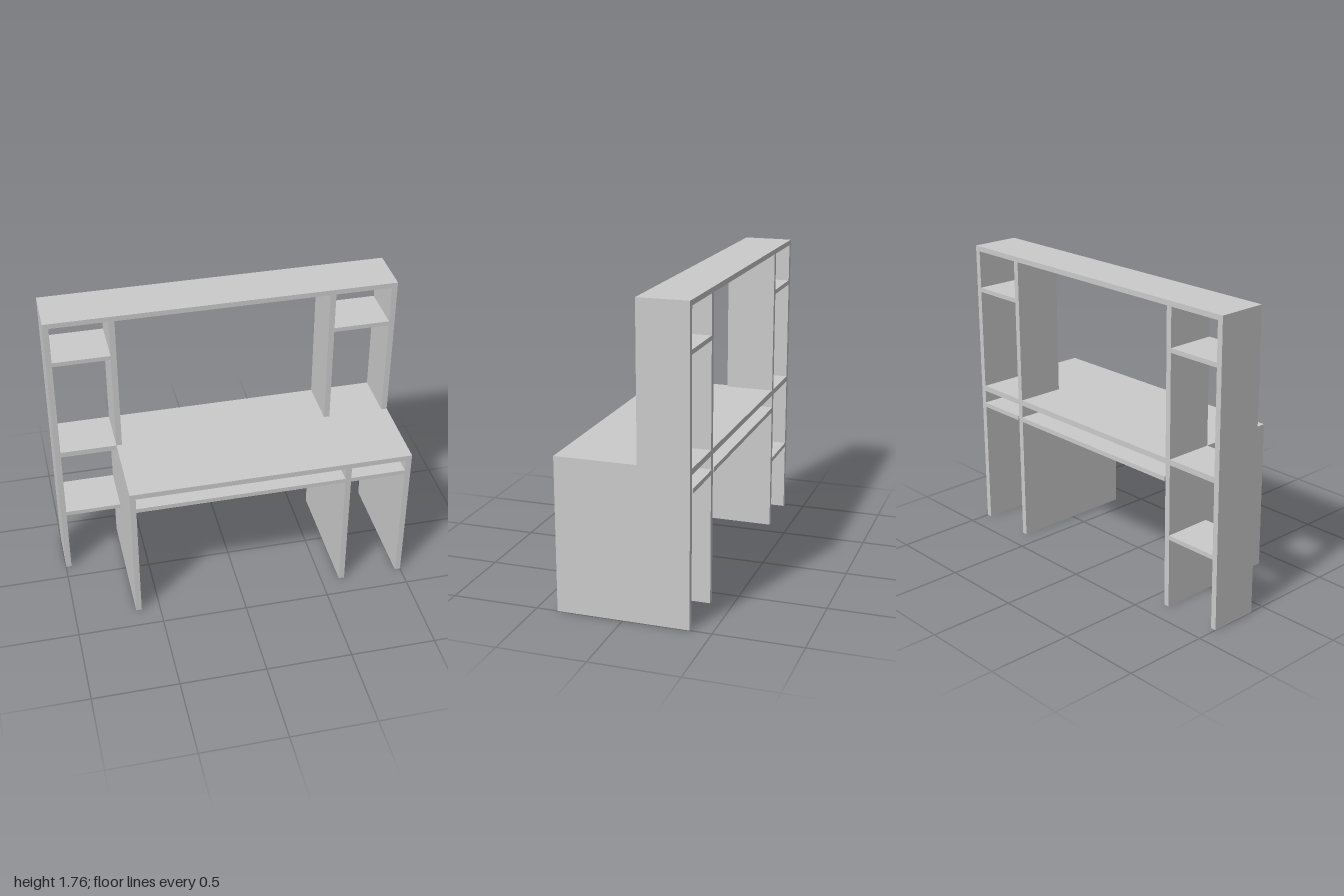
import * as THREE from 'three';

const T = 0.033;                               // board thickness
const BACK = -0.377, FRONT = 0.377, HUTCH = -0.09; // depth limits
const DESK_LOW = 0.852, DESK_TOP = 0.885;      // desktop underside and top
const TOP_LOW = 1.73, TOP = 1.76;              // top board

export function createModel() {
  const model = new THREE.Group();
  const material = new THREE.MeshStandardMaterial({ color: 0xcccccc, flatShading: true });

  // Box given by its limits along each axis
  function board(name, [x0, x1], [y0, y1], [z0, z1]) {
    const mesh = new THREE.Mesh(new THREE.BoxGeometry(x1 - x0, y1 - y0, z1 - z0), material);
    mesh.position.set((x0 + x1) / 2, (y0 + y1) / 2, (z0 + z1) / 2);
    mesh.name = name;
    model.add(mesh);
  }

  const shallow = [BACK, HUTCH], deep = [BACK, FRONT];
  const outerRight = [-1, -1 + T];
  const innerRight = [-0.642, -0.642 + T];
  const innerLeft = [0.642 - T, 0.642];
  const outerLeft = [1 - T, 1];

  // Uprights: one narrow full-height side, the others split by the desktop
  board('narrowSidePanel', outerRight, [0, TOP_LOW], shallow);
  for (const [name, x] of [['innerRight', innerRight], ['innerLeft', innerLeft], ['outerLeft', outerLeft]]) {
    board(name + 'LegPanel', x, [0, DESK_LOW], deep);
    board(name + 'HutchPanel', x, [DESK_TOP, TOP_LOW], shallow);
  }

  // Main horizontal boards
  board('topBoard', [-1, 1], [TOP_LOW, TOP], shallow);
  board('desktop', [innerRight[0], 1], [DESK_LOW, DESK_TOP], deep);

  // Shelves under the desktop, standing slightly proud at the back
  const under = [BACK - 0.005, FRONT - 0.005];
  board('keyboardShelf', [innerRight[1], innerLeft[0]], [0.75, 0.777], under);
  board('underDeskShelf', [innerLeft[1], outerLeft[0]], [0.75, 0.777], under);

  // Small shelves in the side bays
  const rightBay = [outerRight[1], innerRight[0]];
  const leftBay = [innerLeft[1], outerLeft[0]];
  board('rightMiddleShelf', rightBay, [DESK_LOW, DESK_TOP], shallow);
  board('rightLowerShelf', rightBay, [0.411, 0.437], shallow);
  board('rightUpperShelf', rightBay, [1.482, 1.508], shallow);
  board('leftUpperShelf', leftBay, [1.482, 1.508], shallow);

  return model;
}
